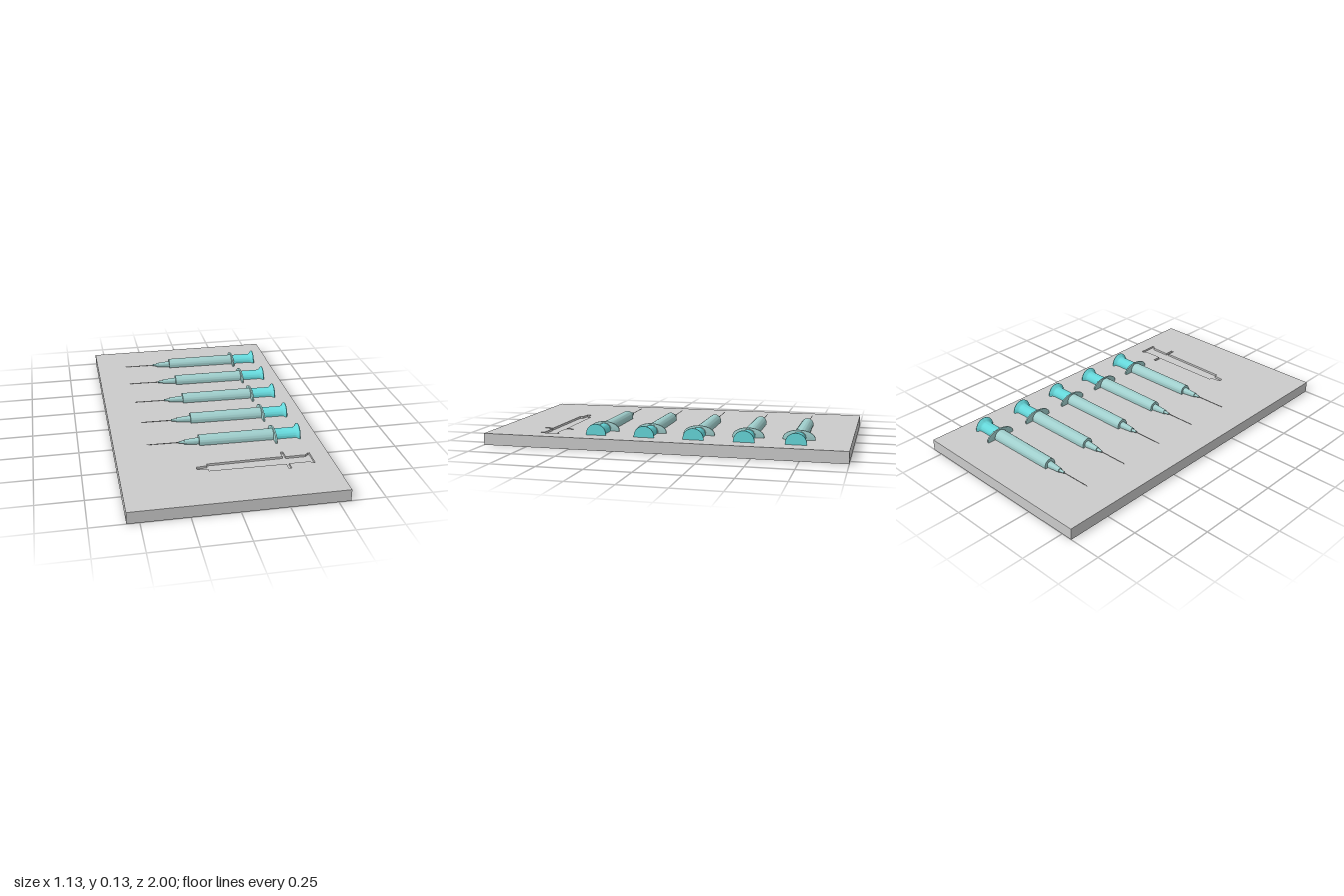
import * as THREE from 'three';
import { toCreasedNormals } from 'three/addons/utils/BufferGeometryUtils.js';

const grey = new THREE.MeshStandardMaterial({ color: 0xcccccc });
const barrelMat = new THREE.MeshStandardMaterial({ color: 0xa0cfcd });
const plungerMat = new THREE.MeshStandardMaterial({ color: 0x66d9dc });

const TOP = 0.065, RECESS = 0.012, HALF_X = 0.565;

function add(parent, name, geometry, material) {
  const mesh = new THREE.Mesh(geometry, material);
  mesh.name = name;
  parent.add(mesh);
  return mesh;
}

// Turned part lying along x; profile is a list of [x, radius]
function turned(profile) {
  const pts = profile.map(([x, r]) => new THREE.Vector2(r, x));
  const g = new THREE.LatheGeometry(pts, 40);
  g.rotateZ(-Math.PI / 2);
  return toCreasedNormals(g, 0.6);
}

function makeSyringe() {
  const g = new THREE.Group();
  add(g, 'needle', turned([[-0.39, 0], [-0.38, 0.0018], [-0.2, 0.0018]]), grey);
  add(g, 'needleHub', turned([
    [-0.21, 0], [-0.21, 0.006], [-0.18, 0.009], [-0.18, 0.013], [-0.1, 0.02]]), barrelMat);
  add(g, 'barrel', turned([
    [-0.1, 0], [-0.1, 0.035], [0.32, 0.04], [0.33, 0.04], [0.33, 0]]), barrelMat);

  // Oval finger flange
  const oval = new THREE.Shape().absellipse(0, 0, 0.0875, 0.047, 0, Math.PI * 2);
  const flange = new THREE.ExtrudeGeometry(oval, {
    depth: 0.006, curveSegments: 24, bevelSize: 0.002, bevelOffset: -0.002,
    bevelThickness: 0.002, bevelSegments: 2 });
  flange.rotateY(Math.PI / 2);
  flange.translate(0.318, 0, 0);
  add(g, 'fingerFlange', toCreasedNormals(flange, 0.6), barrelMat);

  // Plunger with flared thumb rest
  add(g, 'plunger', turned([
    [0.31, 0.037], [0.44, 0.038], [0.45, 0.043], [0.457, 0.055], [0.462, 0.058],
    [0.466, 0.057], [0.466, 0]]), plungerMat);
  return g;
}

// Plate with one empty, syringe-shaped recess
function makeTray() {
  const tray = new THREE.Group();
  tray.name = 'tray';
  const base = add(tray, 'trayBase',
    new THREE.BoxGeometry(HALF_X * 2, TOP - RECESS, 2), grey);
  base.position.y = (TOP - RECESS) / 2;

  const slab = new THREE.Shape([[-HALF_X, -1], [HALF_X, -1], [HALF_X, 1], [-HALF_X, 1]]
    .map(([x, y]) => new THREE.Vector2(x, y)));
  const half = [[-0.16, 0.012], [-0.1, 0.018], [-0.1, 0.036], [0.313, 0.04], [0.313, 0.0875],
    [0.329, 0.0875], [0.329, 0.036], [0.44, 0.037], [0.457, 0.054], [0.466, 0.054]];
  const mirrored = half.map(([x, w]) => [x, -w]).reverse();
  slab.holes.push(new THREE.Path([...half, ...mirrored]
    .map(([x, w]) => new THREE.Vector2(x, w - 0.65))));
  const top = new THREE.ExtrudeGeometry(slab, { depth: RECESS, bevelEnabled: false });
  top.rotateX(-Math.PI / 2);
  top.translate(0, TOP - RECESS, 0);
  add(tray, 'trayTopWithRecess', top, grey);
  return tray;
}

export function createModel() {
  const model = new THREE.Group();
  model.name = 'syringeTray';
  model.add(makeTray());

  // Row of half-sunk syringes, needles raised slightly
  for (let i = 0; i < 5; i++) {
    const s = makeSyringe();
    s.name = 'syringe' + (i + 1);
    s.position.set(0, 0.0763, -0.72 + i * 0.274);
    s.rotation.z = -0.0134;
    model.add(s);
  }
  return model;
}
